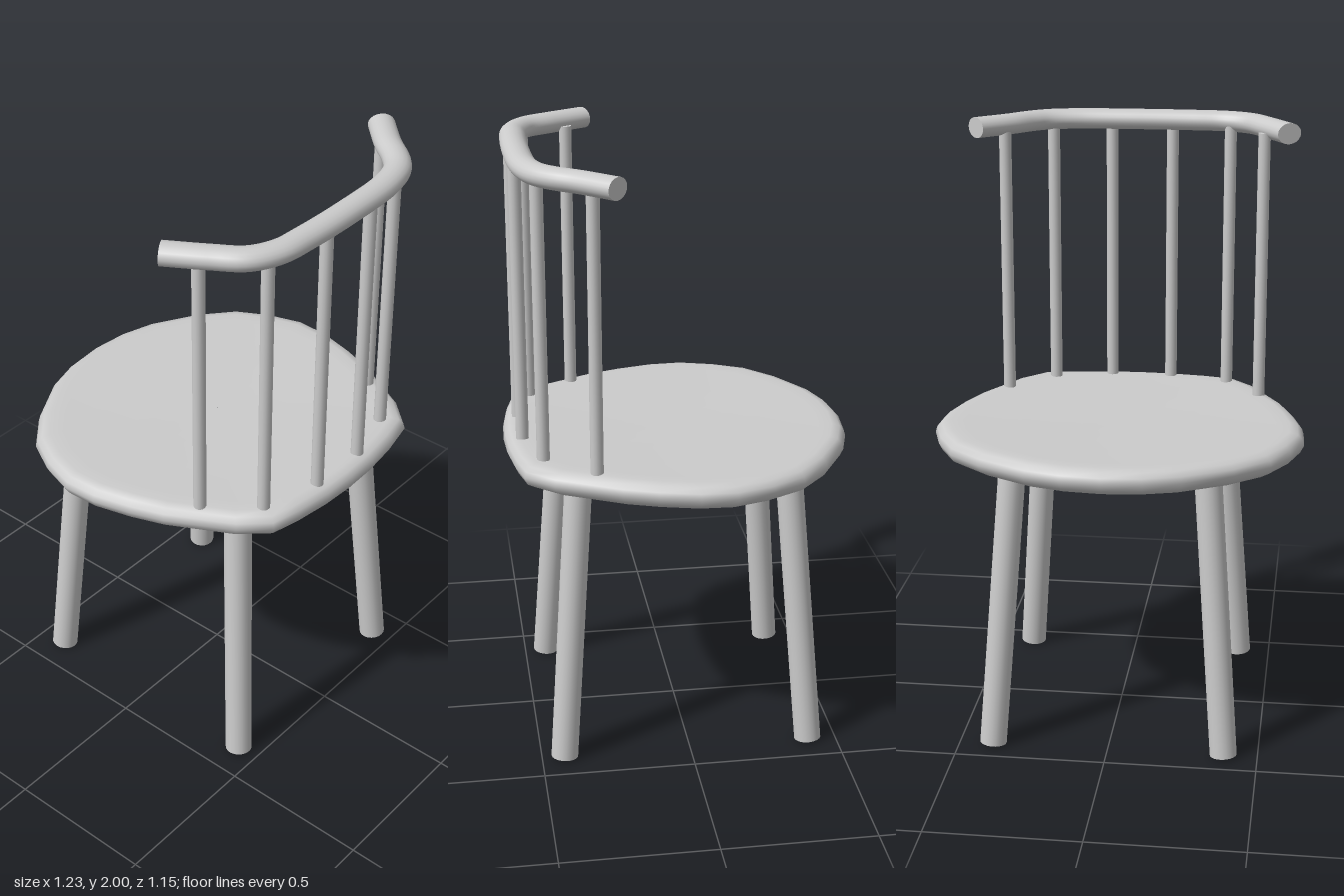
import * as THREE from 'three';

const V = (x, y, z) => new THREE.Vector3(x, y, z);
const material = new THREE.MeshStandardMaterial({ color: 0xcccccc });

function part(name, geometry) {
  const mesh = new THREE.Mesh(geometry, material);
  mesh.name = name;
  return mesh;
}

// Round bar between two points
function bar(name, a, b, radius, sides) {
  const mesh = part(name, new THREE.CylinderGeometry(radius, radius, a.distanceTo(b), sides));
  mesh.position.copy(a).add(b).multiplyScalar(0.5);
  mesh.quaternion.setFromUnitVectors(V(0, 1, 0), b.clone().sub(a).normalize());
  return mesh;
}

// Seat: half outline mirrored in x, stacked in scaled rings with a rounded rim
function seatGeometry() {
  const half = [[0, -0.577], [0.13, -0.565], [0.25, -0.53], [0.41, -0.44], [0.52, -0.345],
    [0.58, -0.235], [0.617, -0.115], [0.612, 0], [0.58, 0.125], [0.54, 0.235],
    [0.43, 0.44], [0.35, 0.527], [0.25, 0.55], [0.12, 0.567], [0, 0.572]];
  const outline = [...half, ...half.slice(1, -1).reverse().map(([x, z]) => [-x, z])];
  const rings = [[0.001, 0.945], [0.85, 0.947], [0.93, 0.955], [0.98, 0.973], [1, 0.998],
    [0.99, 1.018], [0.965, 1.033], [0.92, 1.04], [0.85, 1.037], [0.001, 1.032]];
  const n = outline.length, positions = [], index = [];
  for (const [s, y] of rings) for (const [x, z] of outline) positions.push(x * s, y, z * s);
  for (let r = 0; r < rings.length - 1; r++) {
    for (let i = 0; i < n; i++) {
      const a = r * n + i, b = r * n + (i + 1) % n;
      index.push(a, a + n, b, b, a + n, b + n);
    }
  }
  const geometry = new THREE.BufferGeometry();
  geometry.setAttribute('position', new THREE.Float32BufferAttribute(positions, 3));
  geometry.setIndex(index);
  geometry.computeVertexNormals();
  return geometry;
}

// Back rail: slightly flattened bent tube with flat ends
function backRail() {
  const rail = new THREE.Group();
  rail.name = 'backRail';
  const path = new THREE.CatmullRomCurve3([[-0.53, 0.237], [-0.455, 0.36], [-0.395, 0.445],
    [-0.31, 0.488], [-0.2, 0.498], [0, 0.5], [0.21, 0.488], [0.31, 0.457],
    [0.367, 0.41], [0.425, 0.34], [0.526, 0.24]].map(([x, z]) => V(x, 0, z)));
  rail.add(part('railTube', new THREE.TubeGeometry(path, 64, 0.044, 20)));
  for (const t of [0, 1]) {
    const cap = part('railEnd', new THREE.CircleGeometry(0.044, 20));
    const outward = path.getTangentAt(t).multiplyScalar(t ? 1 : -1);
    cap.quaternion.setFromUnitVectors(V(0, 0, 1), outward);
    cap.position.copy(path.getPointAt(t));
    rail.add(cap);
  }
  rail.scale.y = 0.8;
  rail.position.y = 1.965;
  return rail;
}

export function createModel() {
  const chair = new THREE.Group();
  chair.name = 'chair';
  chair.add(part('seat', seatGeometry()), backRail());

  // Splayed legs
  for (const side of [-1, 1]) {
    chair.add(bar('frontLeg', V(0.387 * side, 0.004, -0.405), V(0.317 * side, 0.97, -0.333), 0.045, 20));
    chair.add(bar('backLeg', V(0.387 * side, 0.004, 0.424), V(0.317 * side, 0.97, 0.353), 0.045, 20));
  }

  // Upright spindles
  for (const [x, z] of [[-0.445, 0.305], [-0.322, 0.462], [-0.117, 0.515],
    [0.095, 0.515], [0.294, 0.462], [0.438, 0.305]]) {
    chair.add(bar('spindle', V(x, 1.0, z), V(x, 1.955, z), 0.021, 14));
  }
  return chair;
}
